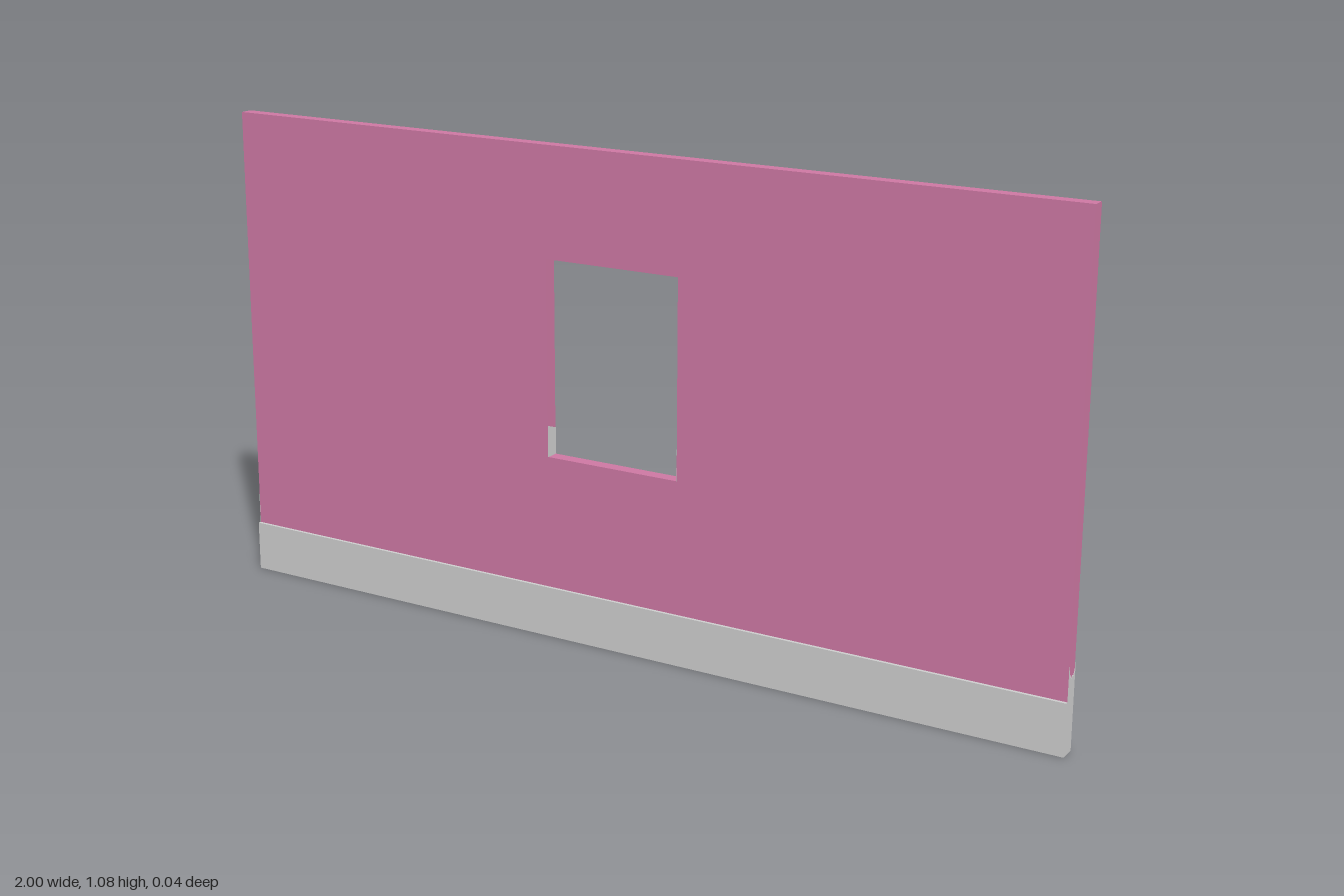
import * as THREE from 'three';

const pink = new THREE.MeshStandardMaterial({ color: 0xcc77a2 });
pink.name = 'pink paint';
const grey = new THREE.MeshStandardMaterial({ color: 0xcccccc });
grey.name = 'light grey';

const SKIN = 0.001; // thickness of painted plates
const TOP = 1.077, BACK = -0.0185, FACE = 0.0115, FRONT = 0.0185;
const WIN = { left: -0.187, right: 0.131, bottom: 0.406, top: 0.837 };

function outline(points) {
  return new THREE.Shape(points.map(([x, y]) => new THREE.Vector2(x, y)));
}

function extrude(name, shape, depth, material) {
  const geometry = new THREE.ExtrudeGeometry(shape, { depth, bevelEnabled: false });
  const mesh = new THREE.Mesh(geometry, material);
  mesh.name = name;
  return mesh;
}

// Thin plate drawn in the z-y plane, spanning x to x + SKIN
function sidePlate(name, points, x) {
  const mesh = extrude(name, outline(points), SKIN, grey);
  mesh.rotation.y = -Math.PI / 2;
  mesh.position.x = x + SKIN;
  return mesh;
}

function box(name, x0, x1, y0, y1, z0, z1) {
  const mesh = new THREE.Mesh(new THREE.BoxGeometry(x1 - x0, y1 - y0, z1 - z0), grey);
  mesh.position.set((x0 + x1) / 2, (y0 + y1) / 2, (z0 + z1) / 2);
  mesh.name = name;
  return mesh;
}

export function createModel() {
  const model = new THREE.Group();
  model.name = 'wallPanel';

  // Wall with a window opening
  const w = 1 - SKIN;
  const wallShape = outline([[-w, SKIN], [w, SKIN], [w, TOP], [-w, TOP]]);
  wallShape.holes.push(outline([
    [WIN.left, WIN.bottom], [WIN.left, WIN.top], [WIN.right, WIN.top], [WIN.right, WIN.bottom],
  ]));
  const wall = extrude('wall', wallShape, FACE - BACK - SKIN, pink);
  wall.position.z = BACK + SKIN;
  model.add(wall);

  // Skirting board along the front and the underside
  model.add(box('skirtingBoard', -1, 1, 0, 0.112, FACE, FRONT));
  model.add(box('underside', -w, w, 0, SKIN, BACK + SKIN, FACE));

  // Uneven grey band on the back
  const band = extrude('backBand', outline([
    [-1, 0], [1, 0], [1, 0.183], [0.88, 0.196], [0.75, 0.212], [0.3, 0.214],
    [-0.3, 0.214], [-0.74, 0.212], [-0.89, 0.206], [-1, 0.22],
  ]), SKIN, grey);
  band.position.z = BACK;
  model.add(band);

  // Grey lower ends
  const z0 = BACK + SKIN;
  model.add(sidePlate('leftEndBand', [
    [z0, 0], [FACE, 0], [FACE, 0.185], [0.006, 0.158], [0.003, 0.165], [0, 0.155],
    [-0.006, 0.162], [-0.01, 0.158], [z0, 0.17],
  ], w));
  model.add(sidePlate('rightEndBand', [
    [z0, 0], [FACE, 0], [FACE, 0.185], [0, 0.18], [z0, 0.21],
  ], -1));

  // Grey foot of each window reveal
  const reveal = [
    [BACK + SKIN, WIN.bottom], [FACE, WIN.bottom], [FACE, 0.475], [BACK + SKIN, 0.465],
  ];
  model.add(sidePlate('rightRevealFoot', reveal, WIN.left));
  model.add(sidePlate('leftRevealFoot', reveal, WIN.right - SKIN));

  return model;
}
